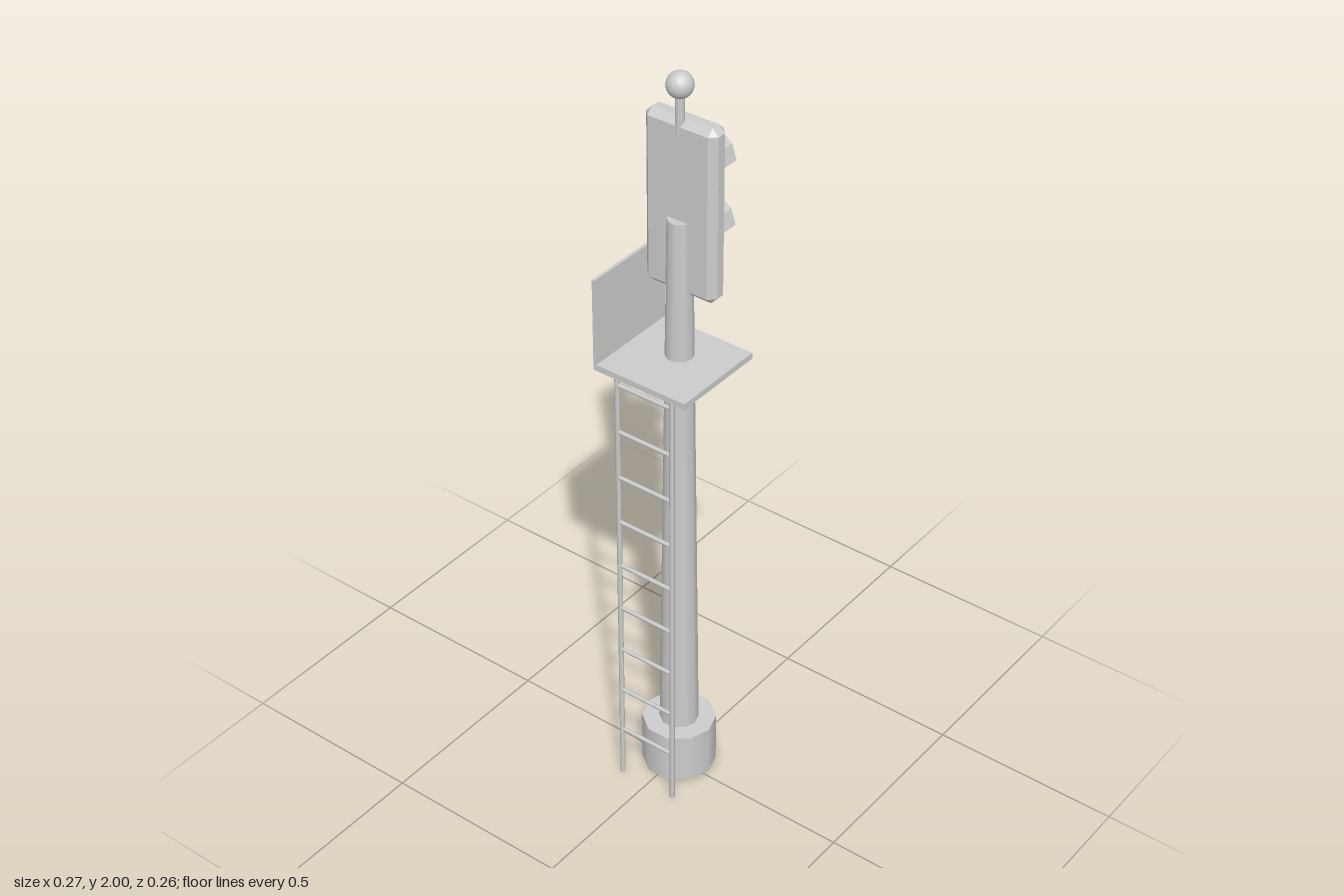
import * as THREE from 'three';
import { ConvexGeometry } from 'three/addons/geometries/ConvexGeometry.js';

const POLE_X = 0.016;

// Box with every edge and corner cut by c
function chamferBox(w, h, d, c) {
  const points = [];
  for (const x of [-w / 2, w / 2]) for (const y of [-h / 2, h / 2]) for (const z of [-d / 2, d / 2]) {
    const cx = Math.sign(x) * c, cy = Math.sign(y) * c, cz = Math.sign(z) * c;
    points.push(
      new THREE.Vector3(x, y - cy, z - cz),
      new THREE.Vector3(x - cx, y, z - cz),
      new THREE.Vector3(x - cx, y - cy, z));
  }
  return new ConvexGeometry(points);
}

export function createModel() {
  const model = new THREE.Group();
  model.name = 'railwaySignal';

  const grey = new THREE.MeshStandardMaterial({ color: 0xcccccc });
  grey.name = 'light grey';
  const greyThin = grey.clone(); // same grey for the open, faceted hoods
  greyThin.side = THREE.DoubleSide;
  greyThin.flatShading = true;

  function add(parent, name, geometry, x, y, z, material = grey) {
    const mesh = new THREE.Mesh(geometry, material);
    mesh.name = name;
    mesh.position.set(x, y, z);
    parent.add(mesh);
    return mesh;
  }

  // Footing and tapered pole
  add(model, 'base', new THREE.CylinderGeometry(0.095, 0.095, 0.142, 10), POLE_X, 0.071, 0);
  add(model, 'pole', new THREE.CylinderGeometry(0.03, 0.05, 1.49, 10), POLE_X, 0.885, 0);

  // Working platform with a back panel
  add(model, 'platform', new THREE.BoxGeometry(0.26, 0.016, 0.26), -0.006, 1.254, 0);
  add(model, 'backPanel', new THREE.BoxGeometry(0.26, 0.245, 0.008), -0.006, 1.3695, -0.13);

  // Ladder under the platform's right edge
  const ladder = new THREE.Group();
  ladder.name = 'ladder';
  ladder.position.x = -0.117;
  model.add(ladder);
  for (const z of [-0.08, 0.08]) {
    add(ladder, 'ladderRail', new THREE.CylinderGeometry(0.0065, 0.0065, 1.25, 8), 0, 0.625, z);
  }
  const rung = new THREE.CylinderGeometry(0.0055, 0.0055, 0.16, 8).rotateX(Math.PI / 2);
  for (let i = 0; i < 9; i++) add(ladder, 'ladderRung', rung, 0, 0.148 + i * 0.1335, 0);

  // Signal head facing +x
  const head = new THREE.Group();
  head.name = 'signalHead';
  model.add(head);
  add(head, 'headCase', chamferBox(0.057, 0.452, 0.2, 0.017), 0.0355, 1.659, 0);

  // Two domed lamps, each under a half-round hood
  const lens = new THREE.SphereGeometry(0.053, 20, 14).scale(0.22, 1, 1);
  const hood = new THREE.CylinderGeometry(0.067, 0.067, 0.075, 5, 1, true, Math.PI, Math.PI)
    .rotateZ(-Math.PI / 2);
  for (const y of [1.58, 1.748]) {
    add(head, 'lens', lens, 0.063, y - 0.002, 0);
    add(head, 'hood', hood, 0.0985, y, 0, greyThin);
  }

  // Finial on a short stem
  add(model, 'finialStem', new THREE.CylinderGeometry(0.011, 0.011, 0.11, 10), POLE_X, 1.895, 0);
  add(model, 'finialBall', new THREE.SphereGeometry(0.032, 20, 14), POLE_X, 1.968, 0);

  return model;
}
